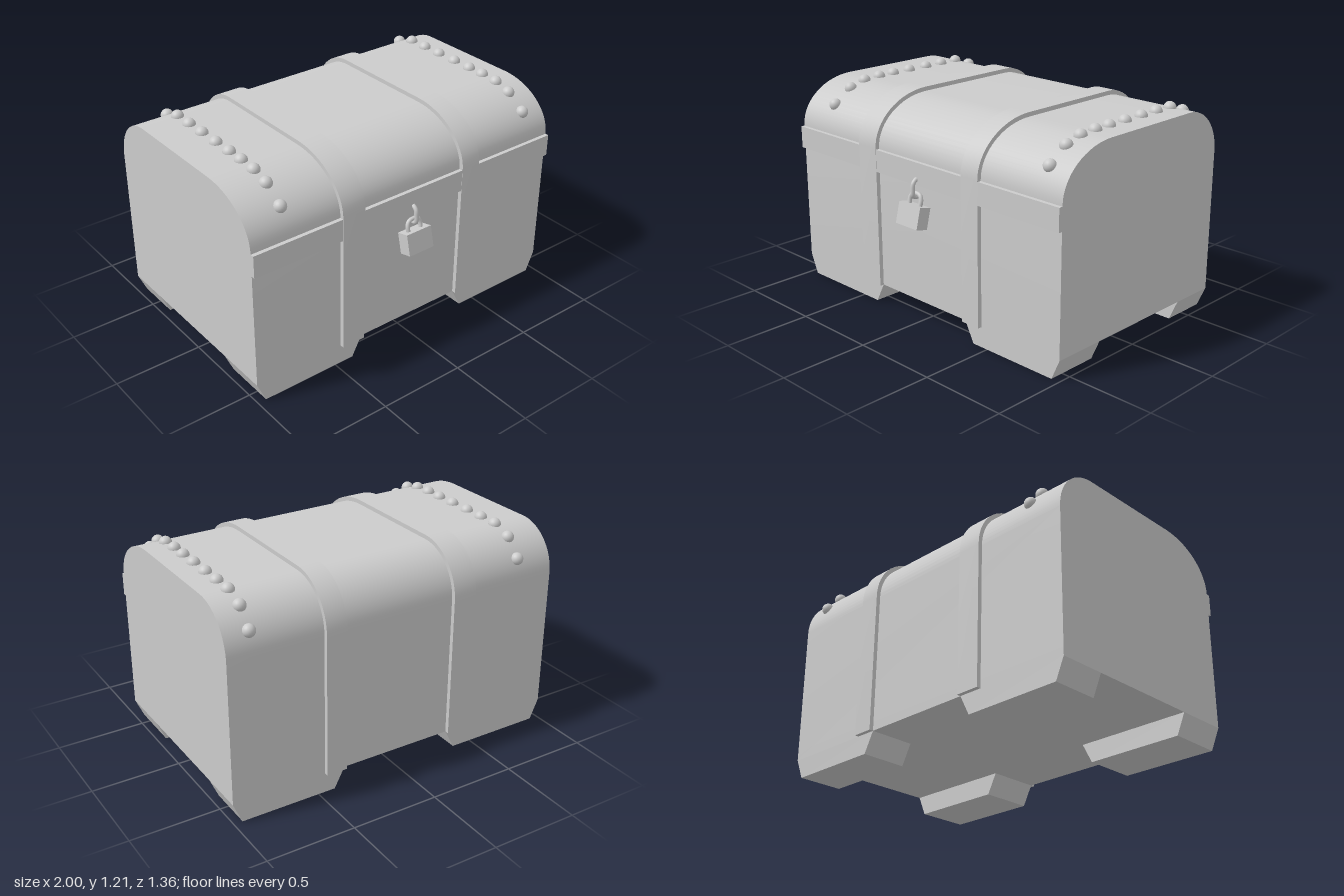
import * as THREE from 'three';
import { toCreasedNormals } from 'three/addons/utils/BufferGeometryUtils.js';

const material = new THREE.MeshStandardMaterial({ color: 0xcccccc });
const BASE = 0.115, SPRING = 0.92, RISE = 0.258;
const FRONT = { z: 0.23, r: 0.35 }, BACK = { z: -0.405, r: 0.25 };

// Chest cross-section as (-z, y) points from front foot to back foot, grown outward by o
function profile(o) {
  const points = [new THREE.Vector2(-FRONT.z - FRONT.r - o, BASE)];
  const n = 16;
  for (const [side, sign] of [[FRONT, -1], [BACK, 1]]) {
    for (let i = 0; i <= n; i++) {
      const a = (sign < 0 ? i : n - i) / n * Math.PI / 2;
      points.push(new THREE.Vector2(
        -side.z + sign * (side.r + o) * Math.cos(a), SPRING + (RISE + o) * Math.sin(a)));
    }
  }
  points.push(new THREE.Vector2(-BACK.z + BACK.r + o, BASE));
  return points;
}

// Extrude a (-z, y) outline along x
function extrudeX(points, x0, x1) {
  const geo = new THREE.ExtrudeGeometry(new THREE.Shape(points), { depth: x1 - x0, bevelEnabled: false });
  geo.rotateY(Math.PI / 2).translate(x0, 0, 0);
  return toCreasedNormals(geo, 0.5);
}

// Lid height at a given z
function lidPoint(z) {
  const side = z > FRONT.z ? FRONT : z < BACK.z ? BACK : null;
  const t = side ? (z - side.z) / side.r : 0;
  return SPRING + RISE * Math.sqrt(Math.max(0, 1 - t * t));
}

export function createModel() {
  const model = new THREE.Group();
  const add = (name, geo, parent = model) => {
    const mesh = new THREE.Mesh(geo, material);
    mesh.name = name;
    parent.add(mesh);
    return mesh;
  };

  // Chest body with rounded lid
  add('chestBody', extrudeX(profile(0), -1, 1));

  // Straps wrapped over the front, lid and back
  for (const [name, x0, x1] of [['rightStrap', -0.465, -0.325], ['leftStrap', 0.34, 0.46]]) {
    add(name, extrudeX([...profile(0.024), ...profile(-0.005).reverse()], x0, x1));
  }

  // Horizontal band across the front
  const band = add('frontBand', new THREE.BoxGeometry(2, 0.126, 0.03));
  band.position.set(0, 0.852, 0.587);

  // Tapered feet at the four corners
  for (const [side, sign, inner] of [['Right', -1, 0.325], ['Left', 1, 0.34]]) {
    const outline = [[inner, BASE], [inner + 0.06, 0], [0.95, 0], [1, BASE]]
      .map(([x, y]) => new THREE.Vector2(sign * x, y));
    for (const [end, z0, z1] of [['front', 0.275, 0.58], ['back', -0.655, -0.39]]) {
      const geo = new THREE.ExtrudeGeometry(new THREE.Shape(outline), { depth: z1 - z0, bevelEnabled: false });
      add(`${end}${side}Foot`, geo.translate(0, 0, z0));
    }
  }

  // Two rows of round studs on the lid
  const studs = new THREE.Group();
  studs.name = 'studs';
  model.add(studs);
  const studGeo = new THREE.SphereGeometry(0.035, 20, 14);
  for (const x of [-0.78, 0.86]) {
    for (const z of [0.515, 0.4, 0.297, 0.187, 0.08, -0.045, -0.178, -0.303, -0.423, -0.537, -0.625]) {
      add('stud', studGeo, studs).position.set(x, lidPoint(z), z);
    }
  }

  // Hasp loop standing out of the front band
  const loop = new THREE.CatmullRomCurve3([
    [0.57, 0.822], [0.602, 0.822], [0.622, 0.805], [0.628, 0.77], [0.627, 0.74], [0.615, 0.728], [0.57, 0.728],
  ].map(([z, y]) => new THREE.Vector3(0, y, z)));
  add('haspLoop', new THREE.TubeGeometry(loop, 32, 0.012, 10));

  // Hanging padlock, tilted outward at the bottom
  const padlock = new THREE.Group();
  padlock.name = 'padlock';
  padlock.position.set(0, 0.628, 0.63);
  padlock.rotation.x = -0.24;
  padlock.rotation.x *= -1;
  padlock.rotation.x = -Math.abs(padlock.rotation.x);
  model.add(padlock);
  add('padlockBody', new THREE.BoxGeometry(0.165, 0.12, 0.074), padlock);
  const shackle = new THREE.CatmullRomCurve3([
    [-0.042, 0.05], [-0.042, 0.09], [-0.03, 0.113], [0, 0.12], [0.03, 0.113], [0.042, 0.09], [0.042, 0.05],
  ].map(([x, y]) => new THREE.Vector3(x, y, 0)));
  add('padlockShackle', new THREE.TubeGeometry(shackle, 32, 0.012, 10), padlock);

  return model;
}
